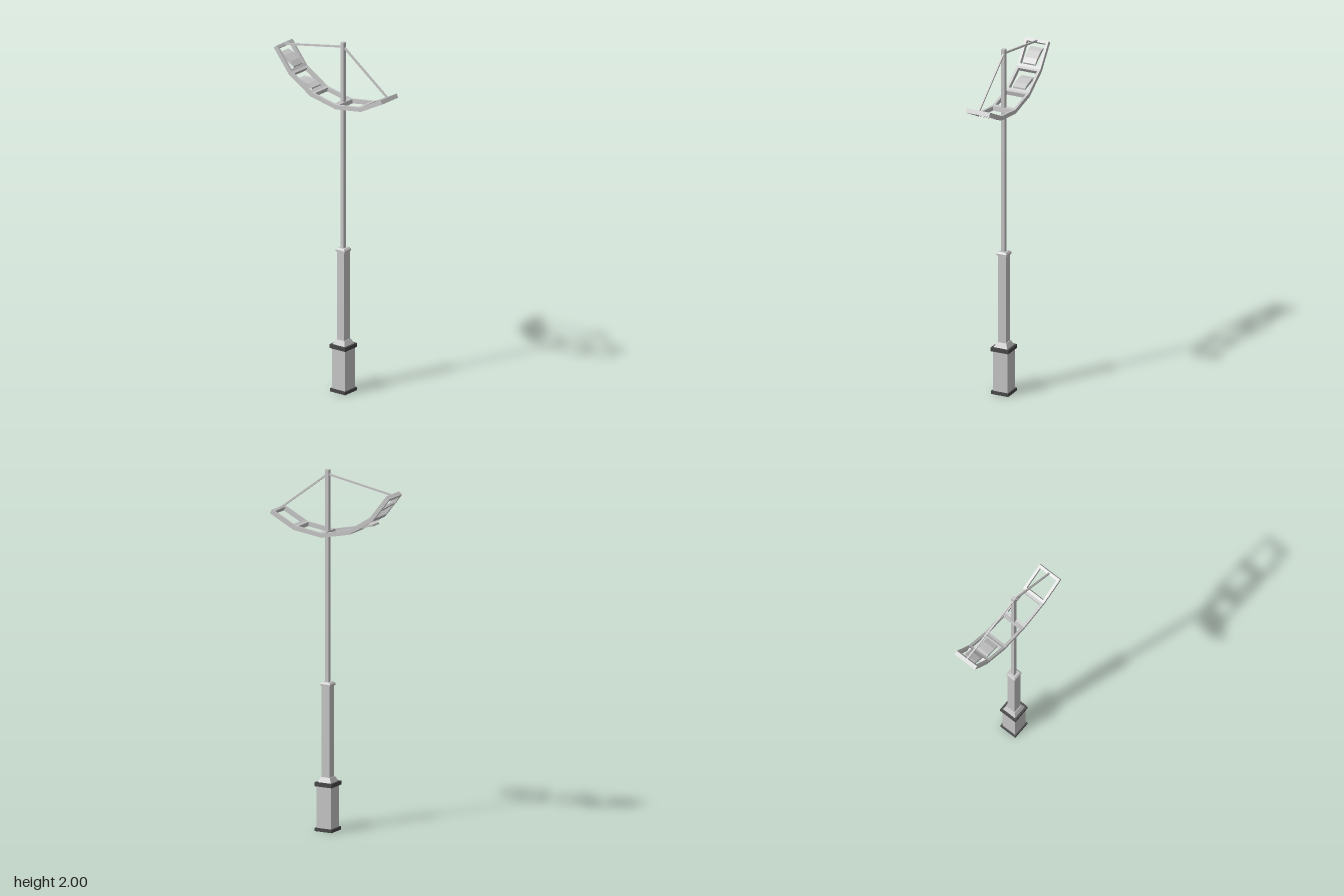
import * as THREE from 'three';

export function createModel() {
  const model = new THREE.Group();
  const paint = new THREE.MeshStandardMaterial({ color: 0xc6c6c6 });
  paint.name = 'light grey metal';
  const trim = new THREE.MeshStandardMaterial({ color: 0x484848 });
  trim.name = 'dark trim';
  const PZ = 0.05; // pole position in z

  const add = (name, geometry, material = paint) => {
    const mesh = new THREE.Mesh(geometry, material);
    mesh.name = name;
    model.add(mesh);
    return mesh;
  };

  // Square column section, with half widths at bottom and top
  const column = (name, y0, y1, bottom, top = bottom) => {
    const g = new THREE.CylinderGeometry(top * Math.SQRT2, bottom * Math.SQRT2, y1 - y0, 4)
      .rotateY(Math.PI / 4).toNonIndexed();
    g.computeVertexNormals();
    g.translate(0, (y0 + y1) / 2, PZ);
    return add(name, g);
  };

  // Square collar around the column
  const square = (r) => [[-r, -r], [r, -r], [r, r], [-r, r]].map(([x, y]) => new THREE.Vector2(x, y));
  const collar = (name, y0, y1, outer, inner) => {
    const shape = new THREE.Shape(square(outer));
    shape.holes.push(new THREE.Path(square(inner)));
    const g = new THREE.ExtrudeGeometry(shape, { depth: y1 - y0, bevelEnabled: false });
    return add(name, g.rotateX(-Math.PI / 2).translate(0, y0, PZ), trim);
  };

  // Extrude a (z, y) outline across x
  const across = (outline, width, x = 0) =>
    new THREE.ExtrudeGeometry(new THREE.Shape(outline), { depth: width, bevelEnabled: false })
      .translate(0, 0, -width / 2).rotateY(-Math.PI / 2).translate(x, 0, 0);

  // Outline of a mitred strip around a (z, y) path
  const strip = (path, thickness) => {
    const upper = [], lower = [];
    path.forEach((p, i) => {
      const a = p.clone().sub(path[Math.max(i - 1, 0)]).normalize();
      const b = path[Math.min(i + 1, path.length - 1)].clone().sub(p).normalize();
      const t = a.clone().add(b).normalize();
      const d = i && i < path.length - 1 ? b : t;
      const n = new THREE.Vector2(-t.y, t.x).multiplyScalar(thickness / 2 / t.dot(d));
      upper.push(p.clone().add(n));
      lower.push(p.clone().sub(n));
    });
    return lower.concat(upper.reverse());
  };

  // Pedestal, shaft and pole
  column('pedestal', 0.003, 0.255, 0.0445);
  collar('footTrim', 0, 0.018, 0.052, 0.0435);
  collar('pedestalTrim', 0.249, 0.271, 0.053, 0.035);
  column('plinth', 0.255, 0.271, 0.042);
  column('plinthSlope', 0.271, 0.298, 0.042, 0.028);
  column('shaft', 0.298, 0.81, 0.0245);
  column('shaftCollar', 0.803, 0.814, 0.03);
  column('shaftCap', 0.814, 0.823, 0.03, 0.022);
  column('pole', 0.82, 2, 0.0105);

  // Curved ladder frame: two rails and a crossbar at every joint
  const path = [[-0.362, 1.903], [-0.26, 1.773], [-0.118, 1.683], [0.051, 1.647], [0.22, 1.67], [0.365, 1.744]]
    .map(([z, y]) => new THREE.Vector2(z, y));
  for (const side of [-1, 1]) {
    add(side > 0 ? 'leftRail' : 'rightRail', across(strip(path, 0.024), 0.014, side * 0.0635));
  }
  path.forEach((p, i) => {
    const bar = [p];
    const toward = (q) => p.clone().add(q.clone().sub(p).setLength(0.017));
    if (i > 0) bar.unshift(toward(path[i - 1]));
    if (i < path.length - 1) bar.push(toward(path[i + 1]));
    add('crossbar', across(strip(bar, 0.024), 0.113));
  });

  // Lamp heads with a faceted top, tilted flatter than the frame
  const lens = [[-0.059, -0.008], [0.059, -0.008], [0.057, 0.001], [0.024, 0.009], [-0.024, 0.009], [-0.057, 0.001]]
    .map(([z, y]) => new THREE.Vector2(z, y));
  for (const [z, y, tilt] of [[-0.19, 1.72, 0.22], [-0.306, 1.833, 0.56]]) {
    const lamp = add('lampHead', across(lens, 0.074));
    lamp.position.set(0, y, z);
    lamp.rotation.x = tilt;
  }

  // Stay rods from the pole top to the frame ends
  for (const [z, y] of [[0.356, 1.744], [-0.352, 1.902]]) {
    const rod = [new THREE.Vector2(PZ, 1.975), new THREE.Vector2(z, y)];
    add('stayRod', across(strip(rod, 0.01), 0.009));
  }
  return model;
}
